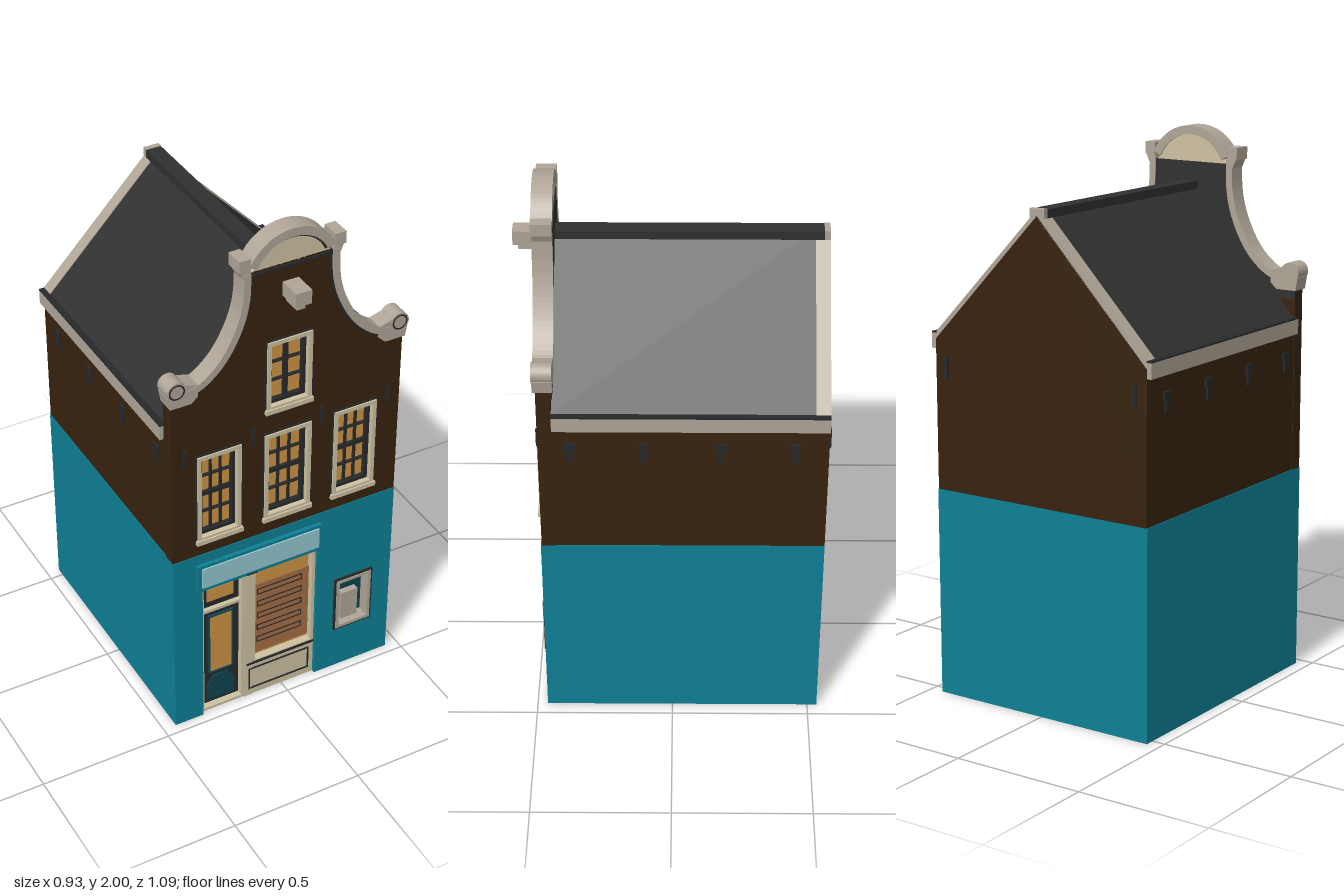
import * as THREE from 'three';

const mat = (name, color, side = THREE.FrontSide) => {
  const m = new THREE.MeshStandardMaterial({ color, side });
  m.name = name;
  return m;
};

export function createModel() {
  const house = new THREE.Group();
  house.name = 'gabledTownHouse';
  const M = {
    teal: mat('tealPaint', 0x0e8096), brown: mat('brownBrick', 0x38220f),
    roof: mat('roofSlate', 0x303030), stone: mat('stone', 0xb0a698),
    cream: mat('creamPaint', 0xcfc2a3), dark: mat('darkTrim', 0x26292a),
    amber: mat('litGlass', 0xcf9445), blind: mat('shopBlind', 0xa56d45),
    sign: mat('paleSign', 0x93c8d0), deep: mat('deepTeal', 0x0d4452),
  };

  const add = (name, geo, m, parent = house) => {
    const mesh = new THREE.Mesh(geo, m);
    mesh.name = name;
    parent.add(mesh);
    return mesh;
  };
  // box given by its limits
  const box = (name, m, x0, x1, y0, y1, z0, z1, parent) => {
    const b = add(name, new THREE.BoxGeometry(x1 - x0, y1 - y0, z1 - z0), m, parent);
    b.position.set((x0 + x1) / 2, (y0 + y1) / 2, (z0 + z1) / 2);
    return b;
  };
  const shapeOf = (pts) => new THREE.Shape(pts.map(([x, y]) => new THREE.Vector2(x, y)));
  const rect = (x0, x1, y0, y1) => [[x0, y0], [x1, y0], [x1, y1], [x0, y1]];
  // outline with holes, extruded from z0 to z1
  const slab = (name, m, pts, z0, z1, holes = [], parent = house) => {
    const s = shapeOf(pts);
    holes.forEach((h) => s.holes.push(shapeOf(h)));
    const g = new THREE.ExtrudeGeometry(s, { depth: z1 - z0, bevelEnabled: false });
    return add(name, g.translate(0, 0, z0), m, parent);
  };
  const frame = (name, m, x0, x1, y0, y1, t, z0, z1, parent) =>
    slab(name, m, rect(x0, x1, y0, y1), z0, z1, [rect(x0 + t, x1 - t, y0 + t, y1 - t)], parent);
  const flip = (pts, s) => pts.map(([x, y]) => [x * s, y]);
  const back = -0.535, wall = 0.41, face = 0.46;

  // Main body
  box('groundFloor', M.teal, -0.45, 0.45, 0, 0.765, back, wall);
  slab('upperFloor', M.brown,
    [[-0.447, 0.765], [0.447, 0.765], [0.447, 1.31], [0, 1.778], [-0.447, 1.31]], back, wall);

  // Roof, verges, gutters and wall anchors on both sides
  for (const s of [1, -1]) {
    const slope = (lift) => flip([[0.445, 1.31], [0.445, 1.332 + lift], [0, 1.795 + lift], [0, 1.77]], s);
    slab('roofSlope', M.roof, slope(0), -0.485, wall);
    slab('stoneVerge', M.stone, slope(0.004), back, -0.485);
    const gx = [s * 0.44, s * 0.465].sort((a, b) => a - b);
    box('gutter', M.stone, ...gx, 1.275, 1.33, back, wall);
    box('gutterChannel', M.dark, ...gx, 1.33, 1.335, back, wall);
    const rx = [s * 0.445, s * 0.455].sort((a, b) => a - b);
    for (const z of [0.35, 0.1, -0.165, -0.42]) {
      box('sideAnchor', M.dark, ...rx, 1.14, 1.21, z - 0.011, z + 0.011);
      box('sideAnchorHead', M.dark, ...rx, 1.185, 1.215, z - 0.02, z + 0.02);
    }
    box('backAnchor', M.dark, s * 0.4 - 0.008, s * 0.4 + 0.008, 1.17, 1.25, back - 0.008, back);
    for (const x of [0.135, 0.4])
      box('frontAnchor', M.dark, s * x - 0.006, s * x + 0.006, 1.17, 1.24, face, face + 0.008);
  }
  box('ridgeCap', M.roof, -0.03, 0.03, 1.77, 1.8, -0.515, wall);
  box('ridgeEnd', M.stone, -0.03, 0.03, 1.77, 1.803, back, -0.515);

  // Bell gable outline, right half, and the same curve moved inward
  const curve = new THREE.SplineCurve([[0.39, 1.488], [0.34, 1.505], [0.28, 1.555], [0.235, 1.62],
    [0.2, 1.7], [0.183, 1.78], [0.18, 1.87]].map(([x, y]) => new THREE.Vector2(x, y)));
  const N = 24;
  const offset = (d) => Array.from({ length: N + 1 }, (_, i) => {
    const p = curve.getPoint(i / N), t = curve.getTangent(i / N);
    return [p.x - t.y * d, p.y + t.x * d];
  });
  const mid = offset(0.012);
  const gable = (y0) => {
    const half = [[0.45, y0], [0.45, 1.45], [0.39, 1.45], ...mid];
    return [...half, ...flip(half, -1).reverse()];
  };

  // Windows: [x0, x1, y0, y1, columns, rows]
  const windows = [[-0.36, -0.178, 0.825, 1.2, 3, 4], [-0.098, 0.098, 0.825, 1.2, 3, 4],
    [0.178, 0.36, 0.825, 1.2, 3, 4], [-0.093, 0.093, 1.29, 1.58, 2, 3]];
  slab('brickFacade', M.brown, gable(0.765), wall, face, windows.map(([a, b, c, d]) => rect(a, b, c, d)));
  slab('gableBack', M.roof, gable(1.4), wall - 0.006, wall);

  for (const [x0, x1, y0, y1, cols, rows] of windows) {
    const w = new THREE.Group();
    w.name = 'window';
    house.add(w);
    frame('windowEdge', M.dark, x0, x1, y0, y1, 0.006, wall, face + 0.004, w);
    frame('windowFrame', M.cream, x0 + 0.006, x1 - 0.006, y0 + 0.006, y1 - 0.006, 0.015, wall, face + 0.01, w);
    frame('sash', M.dark, x0 + 0.02, x1 - 0.02, y0 + 0.02, y1 - 0.02, 0.013, wall, 0.45, w);
    const a = x0 + 0.033, b = x1 - 0.033, c = y0 + 0.033, d = y1 - 0.033;
    box('glass', M.amber, a, b, c, d, wall, 0.43, w);
    for (let i = 1; i < cols; i++) {
      const x = a + ((b - a) * i) / cols, t = cols === 2 ? 0.009 : 0.004;
      box('verticalBar', M.dark, x - t, x + t, c, d, 0.43, 0.44, w);
    }
    for (let j = 1; j < rows; j++) {
      const y = c + ((d - c) * j) / rows, middle = j * 2 === rows;
      box('crossBar', M.dark, a, b, y - (middle ? 0.008 : 0.003), y + (middle ? 0.008 : 0.003), 0.43, 0.442, w);
    }
    box('sill', M.cream, x0, x1, y0 - 0.006, y0 + 0.012, face, face + 0.016, w);
  }

  // Stone coping with scrolled feet and shoulders
  for (const s of [1, -1]) {
    slab('coping', M.stone, flip([...offset(0), ...offset(0.026).reverse()], s), 0.402, 0.472);
    slab('copingShadowLine', M.dark, flip([...offset(0.026), ...offset(0.033).reverse()], s), face, face + 0.006);
    const scroll = add('scroll', new THREE.CylinderGeometry(0.036, 0.036, 0.07, 20), M.stone);
    scroll.rotation.x = Math.PI / 2;
    scroll.position.set(s * 0.43, 1.497, 0.437);
    const ring = add('scrollRing', new THREE.RingGeometry(0.024, 0.03, 20), M.dark);
    ring.position.set(s * 0.43, 1.497, 0.4725);
    slab('scrollFoot', M.stone,
      flip([[0.35, 1.455], [0.375, 1.432], [0.455, 1.432], [0.463, 1.48], [0.4, 1.515], [0.35, 1.5]], s), 0.402, 0.47);
    slab('shoulder', M.stone, flip(rect(0.158, 0.2, 1.885, 1.93), s), 0.402, 0.474);
    slab('shoulderFoot', M.stone, flip([[0.155, 1.855], [0.182, 1.855], [0.195, 1.885], [0.155, 1.885]], s), 0.402, 0.47);
  }

  // Arched pediment
  const arc = (r) => Array.from({ length: 25 }, (_, i) => {
    const a = 0.43 + ((Math.PI - 0.86) * i) / 24;
    return [r * Math.cos(a), 1.822 + r * Math.sin(a)];
  });
  slab('archCoping', M.stone, [...arc(0.178), ...arc(0.146).reverse()], 0.402, 0.474);
  slab('archShadowLine', M.dark, [...arc(0.146), ...arc(0.139).reverse()], 0.452, 0.466);
  slab('pediment', M.cream, [[-0.165, 1.855], [0.165, 1.855], ...arc(0.147)], 0.408, face);
  box('pedimentLedge', M.dark, -0.155, 0.155, 1.852, 1.862, face, face + 0.006);

  // Hoist beam
  box('hoistBeam', M.stone, -0.03, 0.03, 1.745, 1.798, face, 0.548);
  box('hoistBracket', M.stone, -0.016, 0.016, 1.72, 1.745, face, 0.53);

  // Shopfront wall with entrance recess and cash machine niche
  slab('shopWall', M.teal, [[-0.45, 0], [-0.335, 0], [-0.335, 0.595], [0.135, 0.595], [0.135, 0],
    [0.45, 0], [0.45, 0.765], [-0.45, 0.765]], wall, face + 0.003, [rect(0.215, 0.365, 0.19, 0.42)]);

  // Door and transom
  frame('doorSurround', M.cream, -0.335, -0.158, -0.0 + 0.002, 0.595, 0.011, wall, 0.45);
  box('doorLeaf', M.dark, -0.324, -0.169, 0.013, 0.584, wall, 0.425);
  box('doorGlass', M.amber, -0.29, -0.2, 0.165, 0.43, 0.425, 0.429);
  frame('doorGlassTrim', M.deep, -0.296, -0.194, 0.159, 0.436, 0.006, 0.425, 0.434);
  slab('doorPanel', M.deep, [[-0.3, 0.03], [-0.19, 0.03], [-0.19, 0.1], [-0.215, 0.14], [-0.275, 0.14], [-0.3, 0.1]], 0.425, 0.431);
  box('transomBar', M.cream, -0.324, -0.169, 0.465, 0.477, 0.425, 0.442);
  box('transomGlass', M.amber, -0.3, -0.193, 0.505, 0.56, 0.425, 0.43);

  // Shop window with slatted blind, and panel below
  box('shopPost', M.cream, -0.158, -0.125, 0, 0.595, wall, 0.452);
  frame('shopWindowFrame', M.cream, -0.125, 0.135, 0.15, 0.595, 0.012, wall, 0.45);
  box('shopGlass', M.amber, -0.113, 0.123, 0.162, 0.583, wall, 0.42);
  box('blind', M.blind, -0.113, 0.123, 0.175, 0.5, 0.42, 0.426);
  for (let i = 0; i < 5; i++) {
    const y = 0.225 + i * 0.057;
    frame('blindSlat', M.dark, -0.093, 0.093, y, y + 0.026, 0.003, 0.426, 0.429);
  }
  box('shopPanel', M.cream, -0.158, 0.135, 0, 0.15, wall, 0.45);
  frame('shopPanelTrim', M.dark, -0.14, 0.115, 0.03, 0.13, 0.005, 0.45, 0.454);
  box('shopLedge', M.dark, -0.15, 0.135, 0.15, 0.158, wall, 0.455);

  // Sign board
  box('signBoard', M.teal, -0.36, 0.14, 0.615, 0.725, face, 0.478);
  box('signFace', M.sign, -0.345, 0.128, 0.628, 0.713, 0.478, 0.484);
  box('signLamp', M.dark, -0.16, -0.12, 0.605, 0.617, face, 0.475);

  // Cash machine
  frame('machineEdge', M.dark, 0.21, 0.37, 0.185, 0.425, 0.008, face, 0.471);
  frame('machineFrame', M.stone, 0.217, 0.363, 0.192, 0.418, 0.012, wall, 0.474);
  box('machineBack', M.deep, 0.215, 0.365, 0.19, 0.42, wall, 0.425);
  box('machineScreen', M.stone, 0.252, 0.322, 0.208, 0.33, 0.425, 0.45);

  return house;
}
